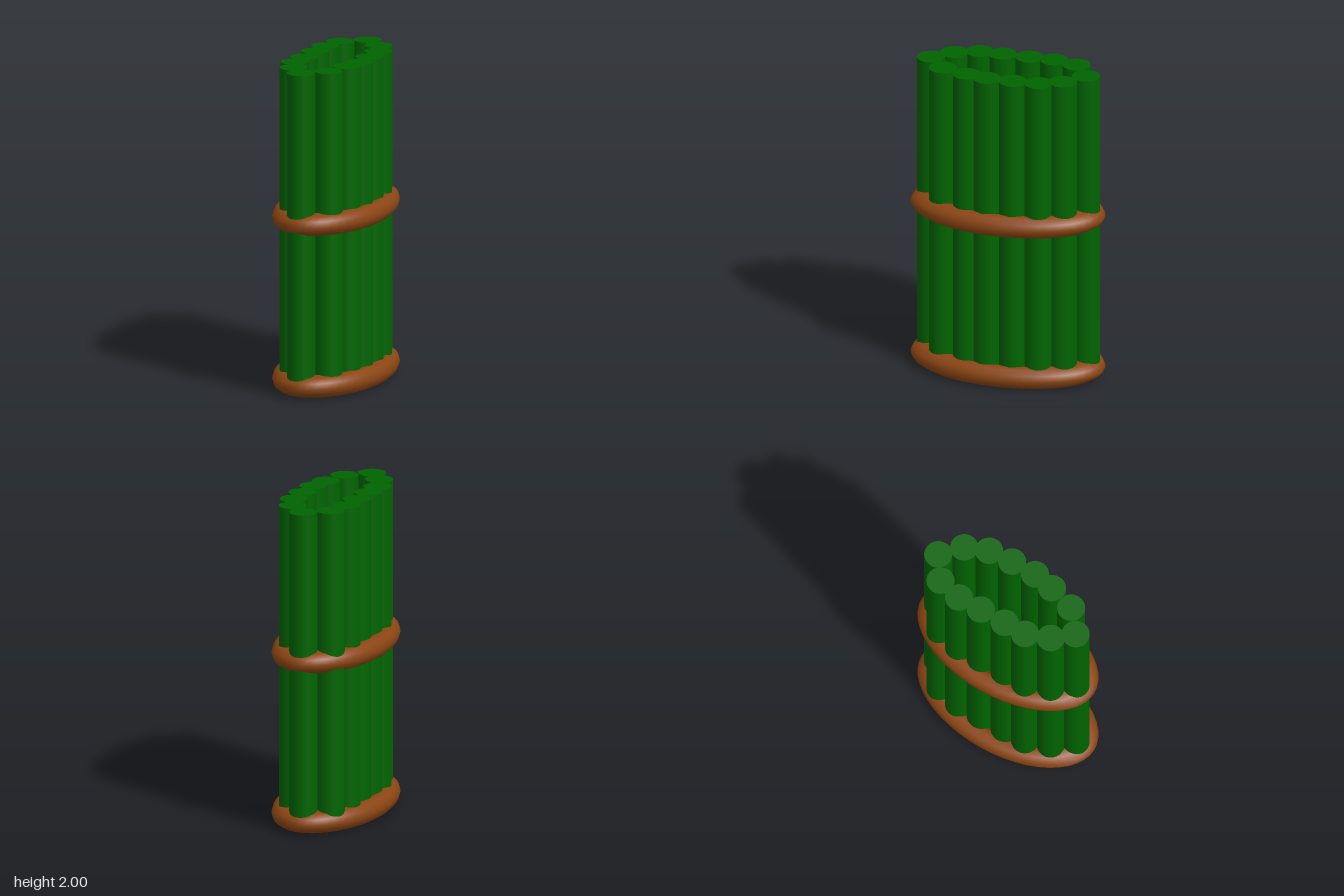
import * as THREE from 'three';

const TOP = 2, BASE = 0.068, STALK_RADIUS = 0.085;

// Stalk centres [x, z], running round the oval from the back
const STALKS = [
  [0, -0.487], [0.118, -0.375], [0.175, -0.235], [0.185, -0.08],
  [0.185, 0.08], [0.16, 0.213], [0.11, 0.376], [-0.022, 0.485],
  [-0.12, 0.368], [-0.175, 0.222], [-0.175, 0.08], [-0.175, -0.087],
  [-0.175, -0.24], [-0.138, -0.39],
];

export function createModel() {
  const model = new THREE.Group();
  model.name = 'stalkBundle';
  const green = new THREE.MeshStandardMaterial({ color: 0x006400 });
  const brown = new THREE.MeshStandardMaterial({ color: 0x8b4513 });

  // Upright stalks, slightly irregular round the oval
  const stalks = new THREE.Group();
  stalks.name = 'stalks';
  const height = TOP - BASE;
  const stalkGeometry = new THREE.CylinderGeometry(STALK_RADIUS, STALK_RADIUS, height, 32);
  STALKS.forEach(([x, z], i) => {
    const stalk = new THREE.Mesh(stalkGeometry, green);
    stalk.name = `stalk${i + 1}`;
    stalk.position.set(x, BASE + height / 2, z);
    stalks.add(stalk);
  });
  model.add(stalks);

  // Flattened oval rings at the foot and the middle
  const ringGeometry = new THREE.TorusGeometry(0.484, 0.118, 12, 48);
  ringGeometry.rotateX(Math.PI / 2);
  ringGeometry.scale(0.55, 0.068 / 0.118, 1);
  for (const [name, y] of [['baseRing', 0.068], ['middleRing', 1.068]]) {
    const ring = new THREE.Mesh(ringGeometry, brown);
    ring.name = name;
    ring.position.y = y;
    model.add(ring);
  }
  return model;
}
